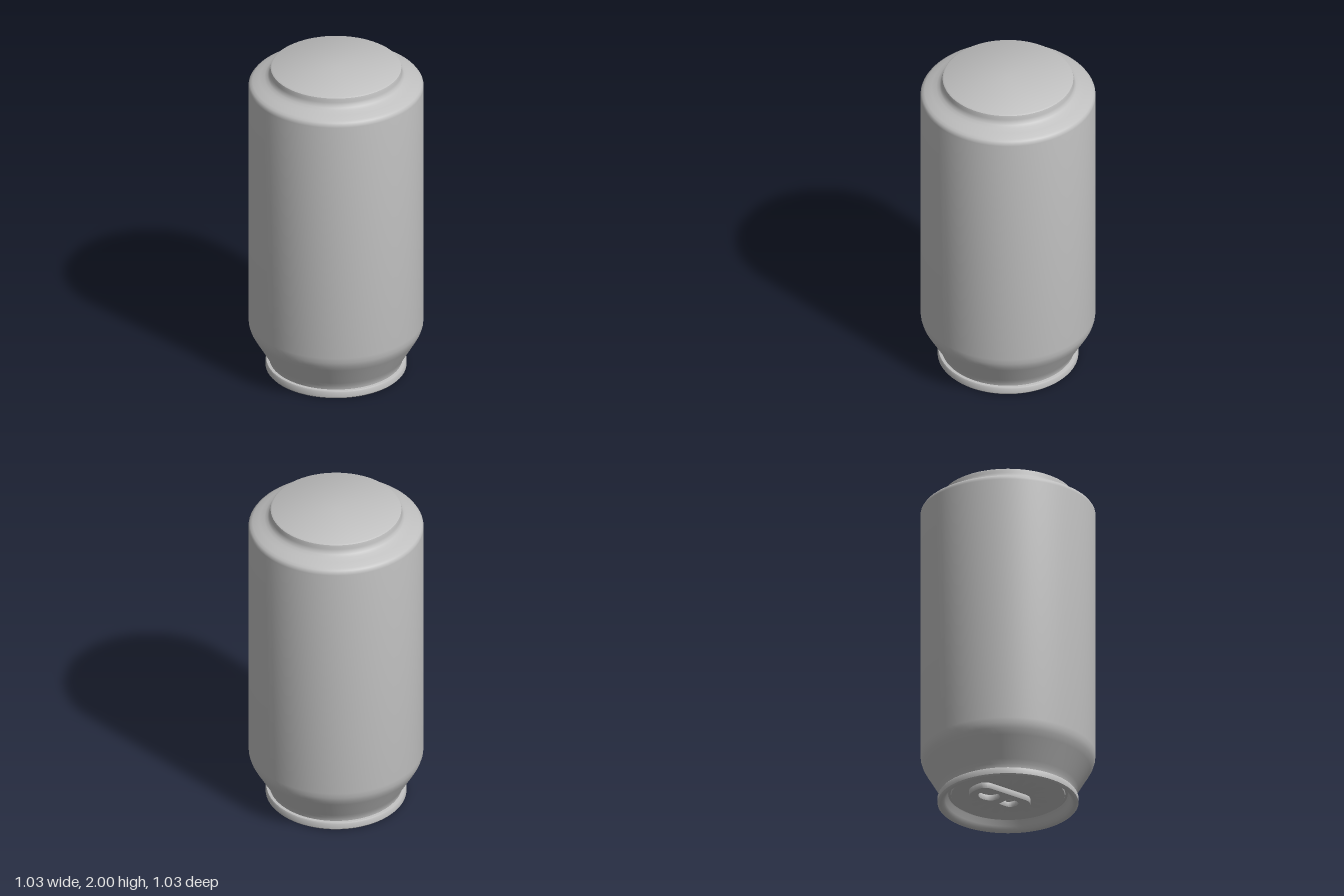
import * as THREE from 'three';
import { toCreasedNormals } from 'three/addons/utils/BufferGeometryUtils.js';

export function createModel() {
  const can = new THREE.Group();
  can.name = 'upturnedDrinkCan';
  const metal = new THREE.MeshStandardMaterial({ color: 0xc0c0c0 });
  metal.name = 'greyMetal';

  const add = (name, geometry, crease = 0.6) => {
    const mesh = new THREE.Mesh(toCreasedNormals(geometry, crease), metal);
    mesh.name = name;
    can.add(mesh);
    return mesh;
  };
  const lathe = (points, segments = 72) =>
    new THREE.LatheGeometry(points.map(([r, y]) => new THREE.Vector2(r, y)), segments);

  // Tapered neck, straight wall, rounded shoulder and flat raised end
  add('body', lathe([
    [0.39, 0.04], [0.393, 0.06], [0.4, 0.08], [0.413, 0.105], [0.485, 0.228],
    [0.503, 0.262], [0.512, 0.292], [0.515, 0.325], [0.515, 1.868], [0.513, 1.882],
    [0.505, 1.894], [0.49, 1.903], [0.45, 1.918], [0.42, 1.93], [0.402, 1.94],
    [0.392, 1.953], [0.388, 1.968], [0.387, 1.982], [0.384, 1.994], [0.375, 2], [0, 2],
  ]));

  // Rolled rim with its sloping inner wall
  add('rim', lathe([
    [0.35, 0.07], [0.355, 0.062], [0.368, 0.03], [0.378, 0.012], [0.387, 0.003], [0.398, 0],
    [0.408, 0.003], [0.414, 0.01], [0.414, 0.042], [0.409, 0.05], [0.39, 0.052],
  ]));

  // Recessed lid with a narrow groove around it
  add('lid', lathe([
    [0, 0.052], [0.328, 0.052], [0.334, 0.056], [0.337, 0.068], [0.352, 0.068],
  ]));

  // Pull tab, drawn in x and z, wider at the rivet end
  const outline = new THREE.Shape();
  outline.moveTo(-0.055, -0.25);
  outline.quadraticCurveTo(0, -0.268, 0.055, -0.25);
  outline.quadraticCurveTo(0.085, -0.235, 0.088, -0.19);
  outline.lineTo(0.095, 0.06);
  outline.quadraticCurveTo(0.092, 0.1, 0.06, 0.12);
  outline.quadraticCurveTo(0, 0.15, -0.06, 0.12);
  outline.quadraticCurveTo(-0.092, 0.1, -0.095, 0.06);
  outline.lineTo(-0.088, -0.19);
  outline.quadraticCurveTo(-0.085, -0.235, -0.055, -0.25);

  const fingerHole = new THREE.Path();
  fingerHole.absellipse(0, -0.145, 0.057, 0.066, 0, Math.PI * 2, true);
  const rivetHole = new THREE.Path();
  rivetHole.moveTo(-0.045, -0.03);
  rivetHole.lineTo(-0.045, 0.025);
  rivetHole.quadraticCurveTo(-0.04, 0.06, 0, 0.062);
  rivetHole.quadraticCurveTo(0.04, 0.06, 0.045, 0.025);
  rivetHole.lineTo(0.045, -0.03);
  rivetHole.closePath();
  outline.holes.push(fingerHole, rivetHole);

  const tab = new THREE.ExtrudeGeometry(outline, {
    depth: 0.03, curveSegments: 12, bevelEnabled: true,
    bevelThickness: 0.004, bevelSize: 0.004, bevelOffset: -0.004, bevelSegments: 2,
  });
  tab.rotateX(Math.PI / 2);
  tab.translate(0, 0.044, 0);
  add('pullTab', tab);

  // Rivet and the tongue that ties it to the tab
  const rivet = lathe([[0, 0.022], [0.014, 0.022], [0.02, 0.028], [0.02, 0.055]], 24);
  add('rivet', rivet).position.z = 0.005;
  const tongue = new THREE.BoxGeometry(0.05, 0.008, 0.06);
  add('tabTongue', tongue).position.set(0, 0.044, -0.01);

  return can;
}
